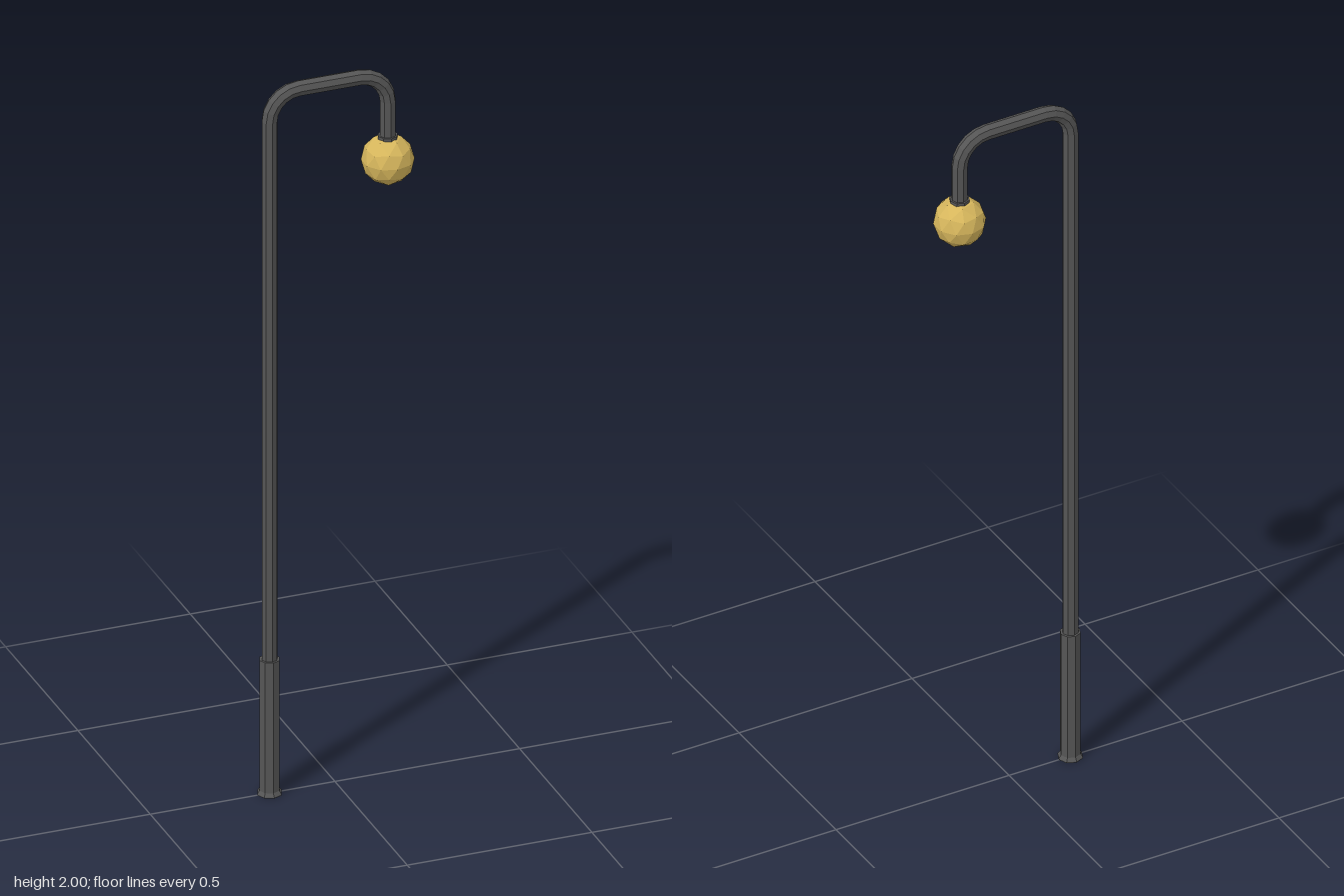
import * as THREE from 'three';

const POLE_X = -0.177, LAMP_X = 0.143, TOP_Y = 1.979, TUBE_R = 0.021, BEND = 0.078;

// Eight-sided pipe swept along sections [x, y, headingAngle] in the XY plane
function sweepPipe(sections, radius) {
  const n = sections.length - 1;
  const geo = new THREE.CylinderGeometry(radius, radius, n, 8, n);
  const pos = geo.attributes.position;
  for (let i = 0; i < pos.count; i++) {
    const [px, py, a] = sections[Math.round(pos.getY(i) + n / 2)];
    const x = pos.getX(i);
    pos.setXYZ(i, px + x * Math.sin(a), py - x * Math.cos(a), pos.getZ(i));
  }
  geo.computeVertexNormals();
  return geo;
}

export function createModel() {
  const group = new THREE.Group();
  const metal = new THREE.MeshStandardMaterial({ color: 0x555555, flatShading: true });
  metal.name = 'dark grey metal';
  const glow = new THREE.MeshStandardMaterial({ color: 0xd6b65c, flatShading: true });
  glow.name = 'warm yellow lamp';

  const add = (name, geo, mat, x, y) => {
    const mesh = new THREE.Mesh(geo, mat);
    mesh.name = name;
    mesh.position.set(x, y, 0);
    group.add(mesh);
    return mesh;
  };

  // Pole rising, bending over and dropping to the lamp
  const sections = [[POLE_X, 0.36, Math.PI / 2]];
  const steps = 5;
  for (const [cx, start] of [[POLE_X + BEND, Math.PI / 2], [LAMP_X - BEND, 0]]) {
    for (let i = 0; i <= steps; i++) {
      const a = start - (i / steps) * Math.PI / 2;
      sections.push([cx - BEND * Math.sin(a), TOP_Y - BEND + BEND * Math.cos(a), a]);
    }
  }
  sections.push([LAMP_X, 1.78, -Math.PI / 2]);
  add('pole', sweepPipe(sections, TUBE_R), metal, 0, 0);

  // Thicker base sleeve with a flared foot
  const profile = [[0, 0], [0.033, 0], [0.033, 0.003], [0.027, 0.012], [0.027, 0.38], [0, 0.38]]
    .map(([r, y]) => new THREE.Vector2(r, y));
  add('baseSleeve', new THREE.LatheGeometry(profile, 8), metal, POLE_X, 0);

  // Collar above the lamp
  add('lampCollar', new THREE.CylinderGeometry(0.026, 0.026, 0.022, 8), metal, LAMP_X, 1.792);

  // Faceted globe with one corner pointing straight up
  const globe = new THREE.IcosahedronGeometry(0.068, 1);
  globe.rotateZ(-Math.atan(2 / (1 + Math.sqrt(5))));
  add('lampGlobe', globe, glow, LAMP_X, 1.735);

  return group;
}
